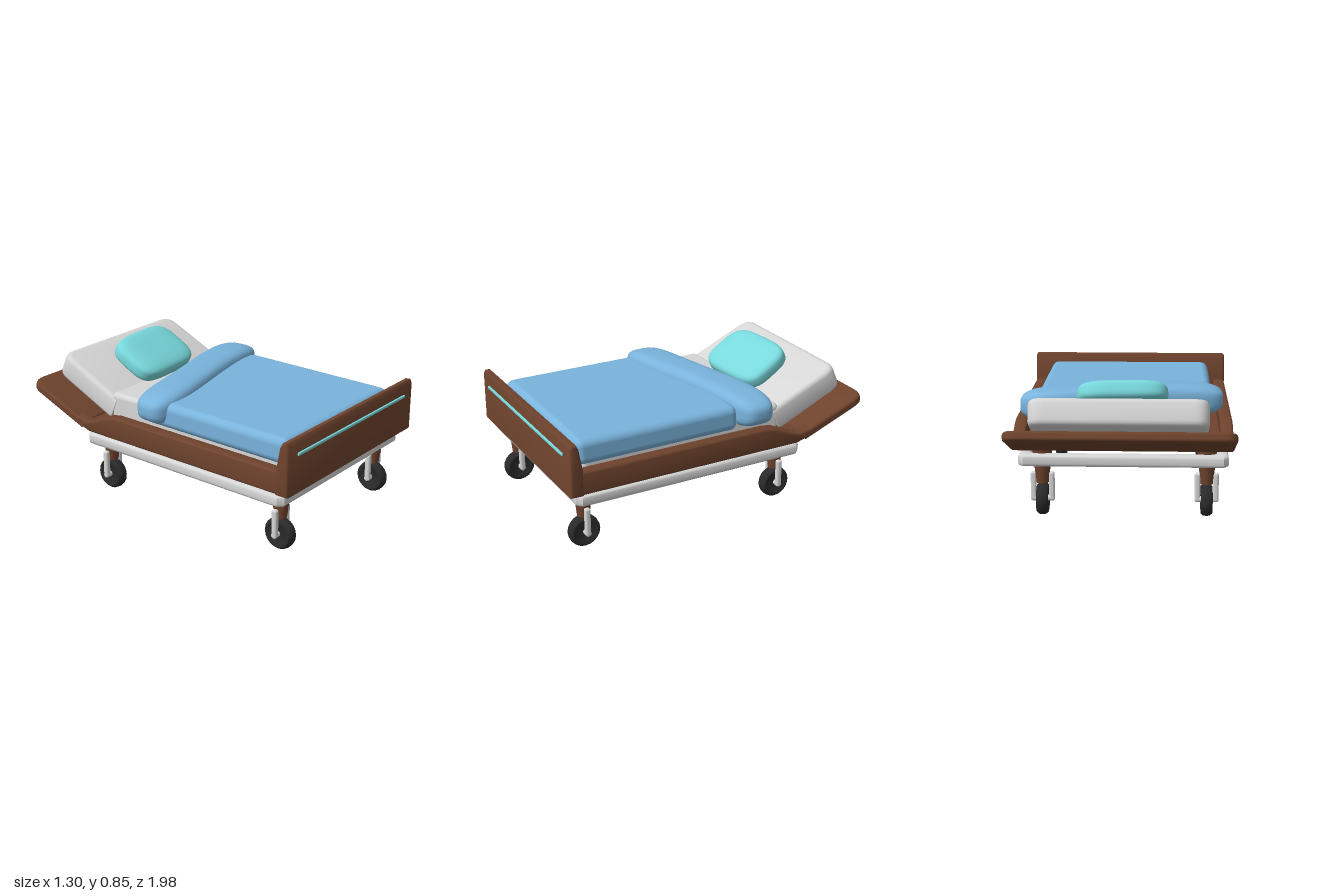
import * as THREE from 'three';
import { mergeVertices, toCreasedNormals } from 'three/addons/utils/BufferGeometryUtils.js';
import { RoundedBoxGeometry } from 'three/addons/geometries/RoundedBoxGeometry.js';

const material = (name, color) => {
  const m = new THREE.MeshStandardMaterial({ color });
  m.name = name;
  return m;
};

export function createModel() {
  const wood = material('brown wood', 0x6e432d);
  const white = material('pale grey', 0xd6d6d6);
  const blue = material('blanket blue', 0x79b3dc);
  const teal = material('teal', 0x78d8dc);
  const rubber = material('black rubber', 0x2a2a2a);

  const bed = new THREE.Group();
  bed.name = 'bed';

  function add(name, geometry, mat, x = 0, y = 0, z = 0, parent = bed) {
    const mesh = new THREE.Mesh(geometry, mat);
    mesh.name = name;
    mesh.position.set(x, y, z);
    parent.add(mesh);
    return mesh;
  }

  // Extrusion whose bevel stays inside the given outline and depth
  function bevelled(shape, depth, bevel) {
    const g = new THREE.ExtrudeGeometry(shape, {
      depth: depth - 2 * bevel, bevelThickness: bevel, bevelSize: bevel,
      bevelOffset: -bevel, bevelSegments: 3, curveSegments: 6,
    });
    g.translate(0, 0, bevel - depth / 2);
    return toCreasedNormals(g, 0.6);
  }

  // Side profile of [z, y] points, extruded across x
  function acrossX(points, width, bevel) {
    const shape = new THREE.Shape(points.map(([z, y]) => new THREE.Vector2(z, y)));
    return bevelled(shape, width, bevel).rotateY(-Math.PI / 2);
  }

  // Panel hinged at its origin, reaching towards -z, with rounded far corners
  function tiltedPanel(width, length, thickness, radius, bevel, angle) {
    const w = width / 2;
    const s = new THREE.Shape();
    s.moveTo(-w, 0);
    s.lineTo(w, 0);
    s.lineTo(w, length - radius);
    s.quadraticCurveTo(w, length, w - radius, length);
    s.lineTo(-w + radius, length);
    s.quadraticCurveTo(-w, length, -w, length - radius);
    s.closePath();
    return bevelled(s, thickness, bevel).rotateX(angle - Math.PI / 2);
  }

  // Soft block: a subdivided cube pushed onto a superellipsoid of radius 1
  function softBlock(segX, power) {
    let g = new THREE.BoxGeometry(2, 2, 2, segX, 12, 12);
    g.deleteAttribute('uv');
    g.deleteAttribute('normal');
    g = mergeVertices(g);
    const p = g.attributes.position;
    const v = new THREE.Vector3();
    for (let i = 0; i < p.count; i++) {
      v.fromBufferAttribute(p, i);
      const r = Math.abs(v.x) ** power + Math.abs(v.y) ** power + Math.abs(v.z) ** power;
      v.multiplyScalar(r ** (-1 / power));
      p.setXYZ(i, v.x, v.y, v.z);
    }
    return g;
  }

  // Bed tray: floor, side rails, raised head panel and footboard
  add('bedFloor', new THREE.BoxGeometry(1.22, 0.05, 1.48), wood, 0, 0.437, 0.2);
  const railProfile = [
    [0.95, 0.41], [0.95, 0.55], [-0.28, 0.55], [-0.34, 0.54], [-0.46, 0.49],
    [-0.52, 0.473], [-0.6, 0.49], [-0.56, 0.427], [-0.5, 0.41],
  ];
  for (const side of [-1, 1]) {
    add(side > 0 ? 'leftRail' : 'rightRail', acrossX(railProfile, 0.075, 0.014), wood, side * 0.61);
  }
  add('headPanel', tiltedPanel(1.295, 0.47, 0.055, 0.09, 0.018, 0.376), wood, 0, 0.441, -0.548);
  const footProfile = [
    [0.985, 0.405], [0.985, 0.7], [0.972, 0.722], [0.945, 0.72],
    [0.93, 0.69], [0.905, 0.55], [0.905, 0.405],
  ];
  add('footboard', acrossX(footProfile, 1.3, 0.015), wood);
  add('footboardStripe', new RoundedBoxGeometry(1.11, 0.018, 0.02, 2, 0.005), teal, 0, 0.638, 0.985);

  // Mattress: flat part and raised back
  add('mattressBase', new RoundedBoxGeometry(1, 0.17, 1.3, 4, 0.03), white, 0.01, 0.545, 0.2);
  add('mattressBack', tiltedPanel(1.01, 0.5, 0.155, 0.09, 0.03, 0.42), white, 0.01, 0.525, -0.43);

  // Blanket, drawn in slightly towards its top
  const cover = new RoundedBoxGeometry(1.09, 0.15, 1.04, 4, 0.045);
  const cp = cover.attributes.position;
  for (let i = 0; i < cp.count; i++) {
    const t = cp.getY(i) / 0.15 + 0.5;
    cp.setX(i, cp.getX(i) * (1 - 0.03 * t));
  }
  cover.computeBoundingSphere();
  add('blanket', cover, blue, 0, 0.605, 0.37);

  // Folded blanket edge, lying in a gentle S across the bed
  const fold = softBlock(28, 3.6);
  const fp = fold.attributes.position;
  for (let i = 0; i < fp.count; i++) {
    const u = fp.getX(i);
    const half = 0.128 + 0.022 * u * u;
    fp.setXYZ(i, 0.01 + 0.61 * u, 0.628 + 0.106 * fp.getY(i),
      -0.165 - 0.095 * Math.sin(u * Math.PI / 2) + half * fp.getZ(i));
  }
  fold.computeVertexNormals();
  add('blanketFold', fold, blue);

  // Pillow
  const pillowShape = softBlock(16, 3.8);
  pillowShape.scale(0.262, 0.066, 0.178);
  pillowShape.computeVertexNormals();
  const pillow = add('pillow', pillowShape, teal, 0, 0.732, -0.535);
  pillow.rotation.set(0.52, 0.08, 0, 'YXZ');

  // Chassis ring under the tray
  const outline = (w, d, c) => [
    [-w, -d + c], [-w + c, -d], [w - c, -d], [w, -d + c],
    [w, d - c], [w - c, d], [-w + c, d], [-w, d - c],
  ].map(([x, y]) => new THREE.Vector2(x, y));
  const ring = new THREE.Shape(outline(0.615, 0.74, 0.03));
  ring.holes.push(new THREE.Path(outline(0.54, 0.665, 0.015).reverse()));
  add('chassis', bevelled(ring, 0.072, 0.02).rotateX(-Math.PI / 2), white, -0.005, 0.35, 0.19);

  // Castors: tapered leg, fork, axle and wheel
  const tyre = [
    [0.001, -0.026], [0.06, -0.028], [0.07, -0.035], [0.082, -0.034], [0.094, -0.02],
    [0.097, 0], [0.094, 0.02], [0.082, 0.034], [0.07, 0.035], [0.06, 0.028], [0.001, 0.026],
  ].map(([r, y]) => new THREE.Vector2(r, y));
  const wheelShape = toCreasedNormals(new THREE.LatheGeometry(tyre, 20).rotateZ(Math.PI / 2), 0.7);
  const legShape = new THREE.CylinderGeometry(0.062, 0.036, 0.22, 16);
  const prongShape = new RoundedBoxGeometry(0.034, 0.177, 0.034, 3, 0.012);
  const axleShape = new THREE.CylinderGeometry(0.018, 0.018, 0.13, 12).rotateZ(Math.PI / 2);
  for (const x of [-0.495, 0.475]) {
    for (const z of [0.84, -0.45]) {
      const castor = new THREE.Group();
      castor.name = (z > 0 ? 'front' : 'back') + (x > 0 ? 'Left' : 'Right') + 'Castor';
      castor.position.set(x, 0, z);
      bed.add(castor);
      add('leg', legShape, wood, 0, 0.305, 0, castor);
      add('wheel', wheelShape, rubber, 0, 0.097, 0, castor);
      add('axle', axleShape, white, 0, 0.1, 0, castor);
      for (const side of [-1, 1]) add('forkProng', prongShape, white, side * 0.054, 0.172, 0, castor);
    }
  }
  return bed;
}
